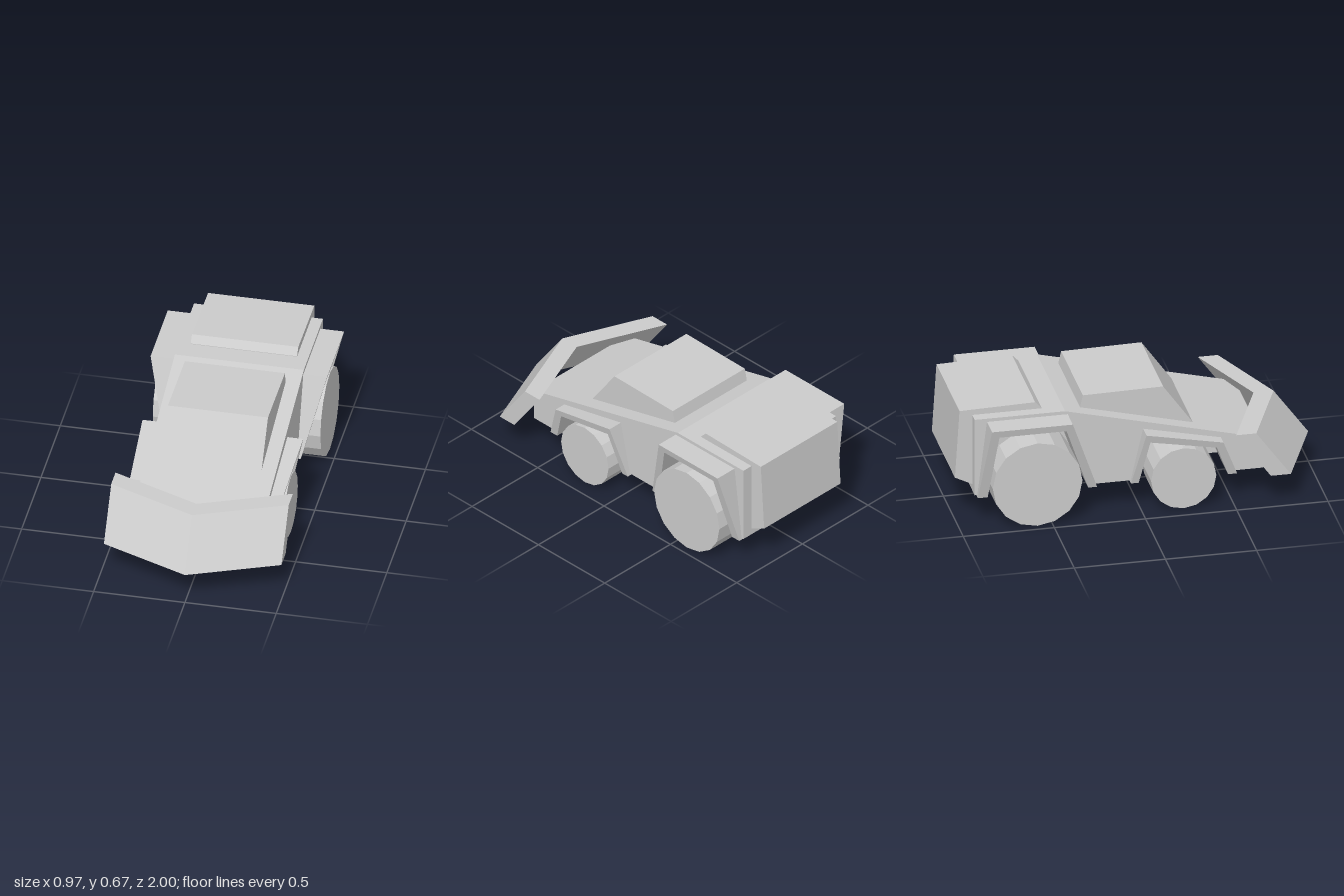
import * as THREE from 'three';

const material = new THREE.MeshStandardMaterial({ color: 0xcccccc, flatShading: true });

// Extrudes a side profile of [z, y] points across the width from x0 to x1
function prism(points, x0, x1) {
  const shape = new THREE.Shape(points.map(([z, y]) => new THREE.Vector2(z, y)));
  const geometry = new THREE.ExtrudeGeometry(shape, { depth: x1 - x0, bevelEnabled: false });
  return geometry.rotateY(-Math.PI / 2).translate(x1, 0, 0);
}

// Wheel arch between two profiles; its outer face leans outward towards the top
function fender(outer, inner, side, topWidth) {
  const points = [...outer, ...[...inner].reverse()];
  const geometry = side > 0 ? prism(points, 0.12, 0.4) : prism(points, -0.4, -0.12);
  const p = geometry.attributes.position;
  const yTop = Math.max(...outer.map((q) => q[1]));
  for (let i = 0; i < p.count; i++) {
    if (Math.abs(p.getX(i)) < 0.13) continue;
    const t = (p.getY(i) - 0.155) / (yTop - 0.155);
    p.setX(i, side * THREE.MathUtils.lerp(0.372, topWidth, t));
  }
  geometry.computeVertexNormals();
  return geometry;
}

export function createModel() {
  const model = new THREE.Group();
  const add = (name, geometry) => {
    const mesh = new THREE.Mesh(geometry, material);
    mesh.name = name;
    model.add(mesh);
    return mesh;
  };

  // Hull: solid spine plus side slabs notched for the wheels
  const hullTop = [[-0.905, 0.165], [-0.905, 0.615], [-0.41, 0.615], [0.675, 0.345], [0.675, 0.165]];
  const frontWell = [[0.505, 0.165], [0.428, 0.355], [0.03, 0.44], [-0.03, 0.165]];
  const rearWell = [[-0.262, 0.165], [-0.41, 0.575], [-0.815, 0.575], [-0.865, 0.165]];
  const notched = [...hullTop, ...frontWell, ...rearWell];
  add('hullSpine', prism(hullTop, -0.12, 0.12));
  add('hullSideLeft', prism(notched, 0.12, 0.353));
  add('hullSideRight', prism(notched, -0.353, -0.12));

  // Cabin and rear engine housing
  add('cabin', prism([[0.32, 0.42], [0.145, 0.667], [-0.295, 0.66], [-0.317, 0.56]], -0.274, 0.274));
  add('engineHousing', prism(
    [[-0.525, 0.6], [-0.525, 0.618], [-0.56, 0.655], [-0.975, 0.645], [-1, 0.25], [-0.9, 0.2]], -0.291, 0.291));

  // V-shaped plough blade, sheared backwards with height
  const plan = new THREE.Shape([
    [0, 1], [-0.486, 0.8], [-0.486, 0.69], [0, 0.89], [0.486, 0.69], [0.486, 0.8],
  ].map(([x, z]) => new THREE.Vector2(x, -z)));
  const blade = new THREE.ExtrudeGeometry(plan, { depth: 0.262, bevelEnabled: false });
  blade.rotateX(-Math.PI / 2).translate(0, 0.178, 0);
  const b = blade.attributes.position;
  for (let i = 0; i < b.count; i++) b.setZ(i, b.getZ(i) - (b.getY(i) - 0.178) * 0.725);
  blade.computeVertexNormals();
  add('ploughBlade', blade);

  // Axle sets: arch profiles, wheel position and widths
  const axles = [
    {
      name: 'front', z: 0.227, radius: 0.179, outerX: 0.417, topWidth: 0.44,
      outer: [[0.53, 0.155], [0.445, 0.37], [0.018, 0.466], [-0.052, 0.155]],
      inner: [[0.48, 0.155], [0.41, 0.34], [0.042, 0.417], [-0.01, 0.155]],
    },
    {
      name: 'rear', z: -0.583, radius: 0.246, outerX: 0.459, topWidth: 0.483,
      outer: [[-0.238, 0.155], [-0.395, 0.596], [-0.838, 0.596], [-0.892, 0.155]],
      inner: [[-0.287, 0.155], [-0.427, 0.555], [-0.795, 0.555], [-0.838, 0.155]],
    },
  ];
  for (const a of axles) {
    for (const side of [1, -1]) {
      const suffix = side > 0 ? 'Left' : 'Right';
      add(a.name + 'Fender' + suffix, fender(a.outer, a.inner, side, a.topWidth));
      const wheel = new THREE.CylinderGeometry(a.radius, a.radius, a.outerX - 0.184, 16);
      wheel.rotateZ(Math.PI / 2);
      add(a.name + 'Wheel' + suffix, wheel)
        .position.set(side * (a.outerX + 0.184) / 2, a.radius, a.z);
    }
  }
  return model;
}
